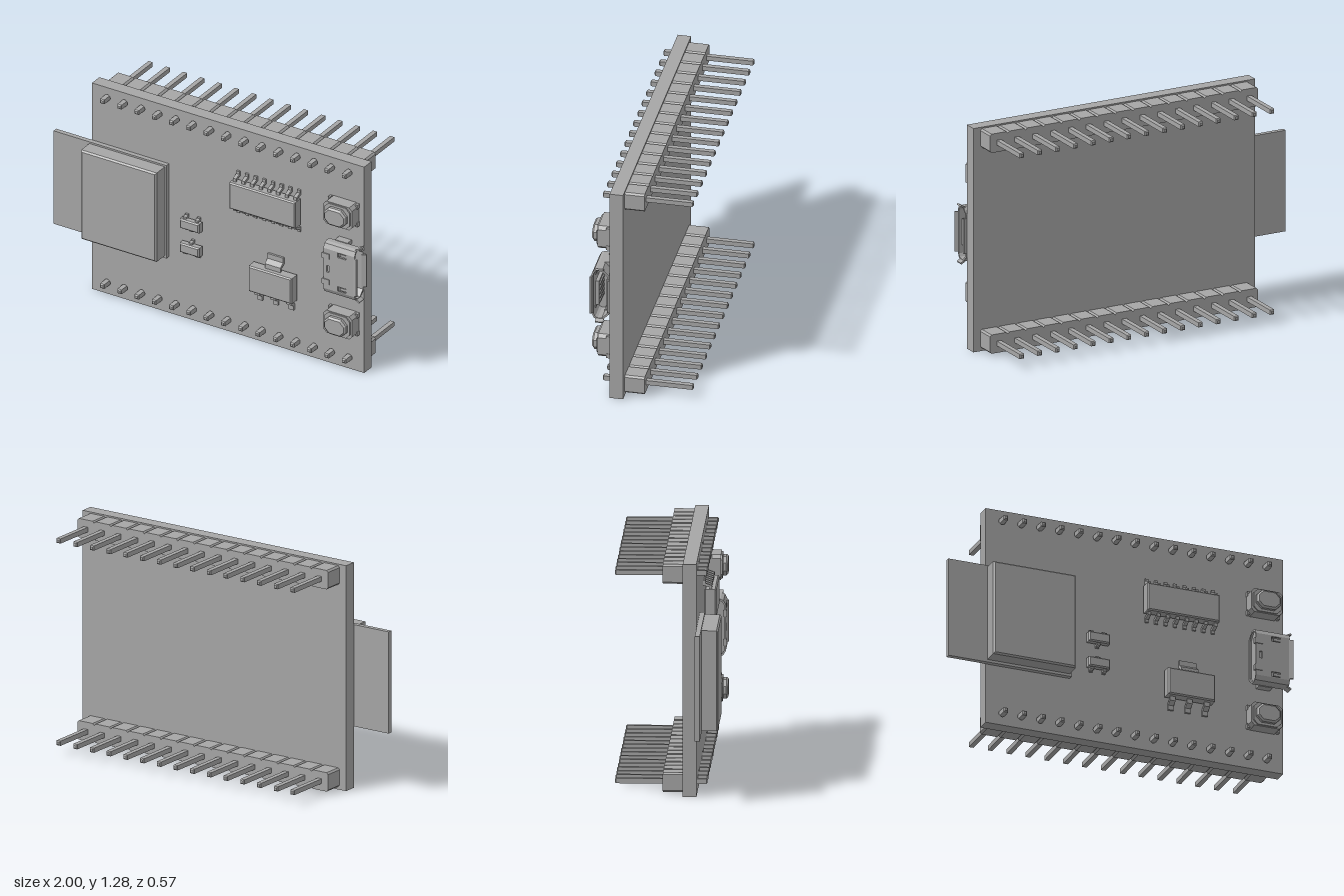
import * as THREE from 'three';

export function createModel() {
  const root = new THREE.Group();
  root.name = 'microcontrollerBoard';
  const grey = new THREE.MeshStandardMaterial({ color: 0xa6a6a6 });
  grey.name = 'plain grey';

  const add = (parent, name, geometry) => {
    const mesh = new THREE.Mesh(geometry, grey);
    mesh.name = name;
    parent.add(mesh);
    return mesh;
  };
  const group = (name) => {
    const g = new THREE.Group();
    g.name = name;
    root.add(g);
    return g;
  };
  // Box given by its limits on each axis
  const box = (parent, name, x0, x1, y0, y1, z0, z1) =>
    add(parent, name, new THREE.BoxGeometry(x1 - x0, y1 - y0, z1 - z0)
      .translate((x0 + x1) / 2, (y0 + y1) / 2, (z0 + z1) / 2));
  const poly = (pts) => new THREE.Shape(pts.map(([x, y]) => new THREE.Vector2(x, y)));
  // Rectangle with cut corners
  const cutRect = (x0, x1, y0, y1, c) => poly([
    [x0 + c, y0], [x1 - c, y0], [x1, y0 + c], [x1, y1 - c],
    [x1 - c, y1], [x0 + c, y1], [x0, y1 - c], [x0, y0 + c]]);
  const rect = (x0, x1, y0, y1) => poly([[x0, y0], [x1, y0], [x1, y1], [x0, y1]]);
  // Outline in x/y, raised from z0 to z1, with an optional chamfer at both ends
  const slab = (parent, name, shape, z0, z1, b = 0) =>
    add(parent, name, new THREE.ExtrudeGeometry(shape, {
      depth: z1 - z0 - 2 * b, bevelEnabled: b > 0, bevelThickness: b, bevelSize: b,
      bevelOffset: -b, bevelSegments: 1, curveSegments: 8,
    }).translate(0, 0, z0 + b));
  // Outline in y/z, extruded along x (dir -1 mirrors it down the board)
  const alongX = (parent, name, shape, width, x, y, dir = 1) => {
    const m = new THREE.Matrix4().makeBasis(
      new THREE.Vector3(0, dir, 0), new THREE.Vector3(0, 0, 1), new THREE.Vector3(dir, 0, 0));
    return add(parent, name, new THREE.ExtrudeGeometry(shape, { depth: width, bevelEnabled: false })
      .translate(0, 0, -width / 2).applyMatrix4(m).translate(x, y, 0));
  };

  const FRONT = 0.165, BACK = 0.09;
  const pinX = Array.from({ length: 15 }, (_, i) => -0.672 + i * 0.111);
  const rows = [0.07, 1.223];

  // Circuit board with plated holes
  const board = rect(-0.77, 0.98, 0, 1.285);
  for (const y of rows) for (const x of pinX) {
    const hole = new THREE.Path();
    hole.absarc(x, y, 0.02, 0, Math.PI * 2, true);
    board.holes.push(hole);
  }
  slab(root, 'circuitBoard', board, BACK, FRONT);

  // Header strips and their pins
  rows.forEach((y, r) => {
    const header = group(r ? 'upperHeader' : 'lowerHeader');
    for (const x of pinX) {
      slab(header, 'headerBlock', cutRect(x - 0.0555, x + 0.0555, y - 0.054, y + 0.054, 0.01), -0.02, BACK);
      slab(header, 'headerPin', rect(x - 0.0135, x + 0.0135, y - 0.0135, y + 0.0135), -0.283, 0.222, 0.006);
    }
  });

  // Radio module: carrier plate and metal shield
  const radio = group('radioModule');
  box(radio, 'radioCarrier', -1, -0.275, 0.35, 0.93, FRONT, 0.192);
  slab(radio, 'radioShield', rect(-0.77, -0.285, 0.365, 0.92), 0.18, 0.283, 0.009);

  // Gull-wing lead from a body edge down to the board
  const lead = (parent, name, x, y, dir, reach, width, z) => {
    const t = 0.012, a = reach * 0.3, b = reach * 0.55, f = FRONT;
    alongX(parent, name, poly([
      [-0.01, z - t], [a - t / 3, z - t], [b - t / 2, f], [reach, f],
      [reach, f + t], [b + t / 2, f + t], [a + t / 2, z], [-0.01, z]]), width, x, y, dir);
  };
  // Moulded package, widest at its middle
  const chipBody = (parent, name, x0, x1, y0, y1, z0, z1) =>
    slab(parent, name, rect(x0, x1, y0, y1), z0, z1, 0.007);

  // Sixteen-lead serial chip
  const serial = group('serialChip');
  chipBody(serial, 'serialChipBody', 0.155, 0.58, 0.812, 0.975, 0.172, 0.237);
  for (let i = 0; i < 8; i++) {
    const x = 0.175 + i * 0.0557;
    lead(serial, 'serialChipLead', x, 0.973, 1, 0.05, 0.02, 0.212);
    lead(serial, 'serialChipLead', x, 0.814, -1, 0.05, 0.02, 0.212);
  }

  // Voltage regulator with heat tab
  const regulator = group('regulator');
  chipBody(regulator, 'regulatorBody', 0.278, 0.555, 0.332, 0.49, 0.168, 0.235);
  lead(regulator, 'regulatorTab', 0.416, 0.488, 1, 0.08, 0.1, 0.205);
  for (const x of [0.316, 0.416, 0.518]) lead(regulator, 'regulatorLead', x, 0.334, -1, 0.072, 0.032, 0.205);

  // Two small transistors, mirrored
  for (const [y, dir] of [[0.607, 1], [0.457, -1]]) {
    const transistor = group('transistor');
    chipBody(transistor, 'transistorBody', -0.18, -0.054, y - 0.029, y + 0.029, 0.169, 0.212);
    for (const x of [-0.155, -0.079]) lead(transistor, 'transistorLead', x, y + dir * 0.027, dir, 0.022, 0.02, 0.195);
    lead(transistor, 'transistorLead', -0.117, y - dir * 0.027, -dir, 0.022, 0.02, 0.195);
  }

  // Push buttons
  for (const y of [0.98, 0.299]) {
    const button = group('pushButton');
    slab(button, 'buttonBase', cutRect(0.765, 0.947, y - 0.07, y + 0.07, 0.018), FRONT, 0.238);
    slab(button, 'buttonCover', cutRect(0.775, 0.937, y - 0.065, y + 0.065, 0.025), 0.238, 0.246);
    slab(button, 'buttonPlunger', cutRect(0.786, 0.926, y - 0.053, y + 0.053, 0.032), 0.24, 0.276, 0.01);
    for (const s of [-1, 1]) for (const x of [0.762, 0.938]) {
      box(button, 'buttonTerminal', x, x + 0.013, y + s * 0.055 - 0.013, y + s * 0.055 + 0.013, FRONT, 0.19);
    }
  }

  // USB socket: hollow shell, slotted front plate, flared mouth and tongue
  const usb = group('usbSocket');
  const mid = 0.645, top = 0.265;
  const shellHalf = [[0.125, top], [0.15, 0.252], [0.158, 0.235], [0.158, 0.205], [0.12, 0.168]];
  const innerHalf = [[0.115, 0.178], [0.148, 0.209], [0.148, 0.232], [0.142, 0.245], [0.125, 0.255]];
  const half = [...shellHalf];
  const mirror = (pts) => pts.map(([y, z]) => [-y, z]).reverse();
  alongX(usb, 'usbShell', poly([...half, ...mirror(half), ...mirror(innerHalf), ...innerHalf]), 0.2, 0.88, mid);
  const plate = rect(0.78, 0.98, mid - 0.125, mid + 0.125);
  for (const s of [-1, 1]) {
    const y = mid + s * 0.105;
    plate.holes.push(rect(0.87, 0.925, y - 0.014, y + 0.014));
    box(usb, 'usbSpring', 0.885, 0.935, y - 0.008, y + 0.008, 0.25, 0.26);
    box(usb, 'usbRearTab', 0.772, 0.82, mid + s * 0.08 - 0.016, mid + s * 0.08 + 0.016, 0.25, 0.27);
    box(usb, 'usbFoot', 0.82, 0.9, mid + s * 0.15 - 0.012, mid + s * 0.15 + 0.012, FRONT, 0.21);
    const lip = box(usb, 'usbSideLip', -0.014, 0.014, -0.005, 0.005, -0.022, 0.022);
    lip.position.set(0.985, mid + s * 0.159, 0.22);
    lip.rotation.z = s * 0.5;
  }
  plate.holes.push(rect(0.8, 0.818, mid - 0.02, mid + 0.02));
  slab(usb, 'usbFrontPlate', plate, 0.255, top);
  for (const [z, dir, w] of [[0.264, 1, 0.23], [0.173, -1, 0.2]]) {
    const lip = box(usb, 'usbMouthLip', -0.014, 0.014, -w / 2, w / 2, -0.005, 0.005);
    lip.position.set(0.986, mid, z);
    lip.rotation.y = -dir * 0.4;
  }
  alongX(usb, 'usbCore', poly([...innerHalf, ...mirror(innerHalf)]), 0.07, 0.825, mid);
  box(usb, 'usbTongue', 0.85, 0.965, mid - 0.075, mid + 0.075, 0.226, 0.246);
  for (let i = -2; i <= 2; i++) {
    box(usb, 'usbContact', 0.85, 0.96, mid + i * 0.027 - 0.007, mid + i * 0.027 + 0.007, 0.219, 0.227);
  }
  return root;
}
